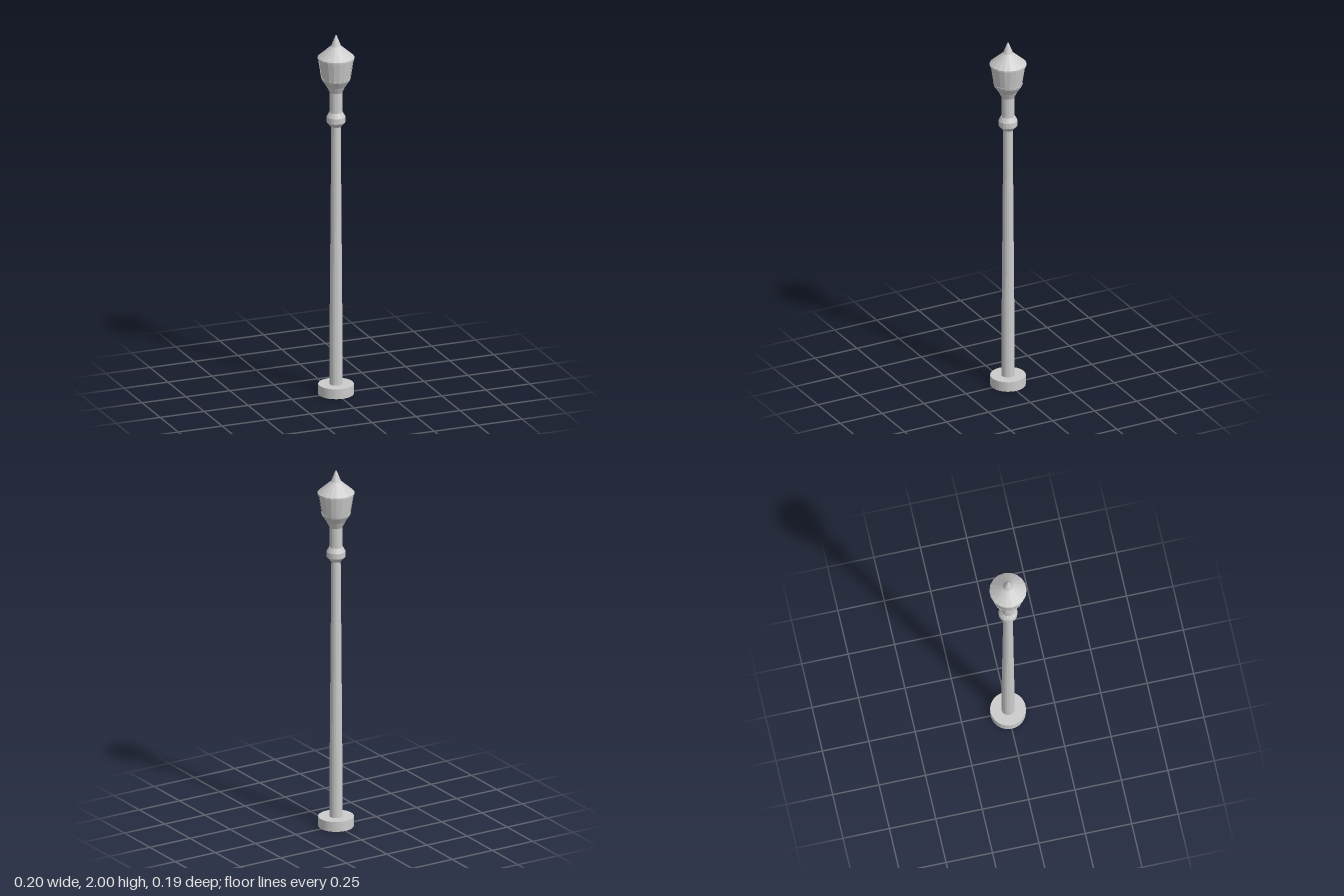
import * as THREE from 'three';

const SIDES = 18;
const STEP = (Math.PI * 2) / SIDES;

const metal = new THREE.MeshStandardMaterial({ color: 0xcccccc, flatShading: true });

// Faceted turned part from [radius, height] pairs, listed bottom to top
function turned(name, profile, sides = SIDES) {
  const points = profile.map(([r, y]) => new THREE.Vector2(r, y));
  const mesh = new THREE.Mesh(new THREE.LatheGeometry(points, sides, STEP / 2), metal);
  mesh.name = name;
  return mesh;
}

// One facet-wide bar of the lantern frame, lying on the outer cone
function frameBar(angle) {
  const points = [[0.073, 1.76], [0.078, 1.76], [0.095, 1.87], [0.09, 1.87]];
  const outline = points.map(([r, y]) => new THREE.Vector2(r, y));
  outline.push(outline[0].clone());
  const bar = new THREE.Mesh(
    new THREE.LatheGeometry(outline, 1, angle - STEP / 2, STEP),
    metal.clone()
  );
  bar.material.side = THREE.DoubleSide;
  bar.name = 'lanternBar';
  return bar;
}

export function createModel() {
  const lamp = new THREE.Group();
  lamp.name = 'streetLamp';

  // Foot and tapering pole
  lamp.add(turned('base', [[0, 0], [0.094, 0], [0.094, 0.055], [0, 0.055]], 36));
  lamp.add(turned('pole', [[0.035, 0.055], [0.034, 0.36], [0.025, 1.5]]));

  // Collar ring and neck
  lamp.add(turned('collar', [
    [0, 1.49], [0.029, 1.49], [0.05, 1.515], [0.05, 1.545], [0.036, 1.57], [0, 1.57],
  ]));
  lamp.add(turned('neck', [[0.034, 1.56], [0.034, 1.68]]));

  // Flared cup that carries the lantern
  lamp.add(turned('lanternCup', [
    [0.034, 1.68], [0.051, 1.715], [0.075, 1.75], [0.078, 1.762], [0, 1.762],
  ]));

  // Slightly recessed glass with six frame bars
  const lantern = new THREE.Group();
  lantern.name = 'lantern';
  lantern.add(turned('glass', [[0.075, 1.76], [0.092, 1.87]]));
  for (let i = 0; i < 6; i++) lantern.add(frameBar((i * Math.PI) / 3));
  lamp.add(lantern);

  // Conical roof with a pointed finial
  lamp.add(turned('roof', [
    [0, 1.868], [0.098, 1.868], [0.098, 1.876], [0.027, 1.938],
  ]));
  lamp.add(turned('finial', [[0.027, 1.938], [0.004, 1.995], [0, 2]]));

  return lamp;
}
